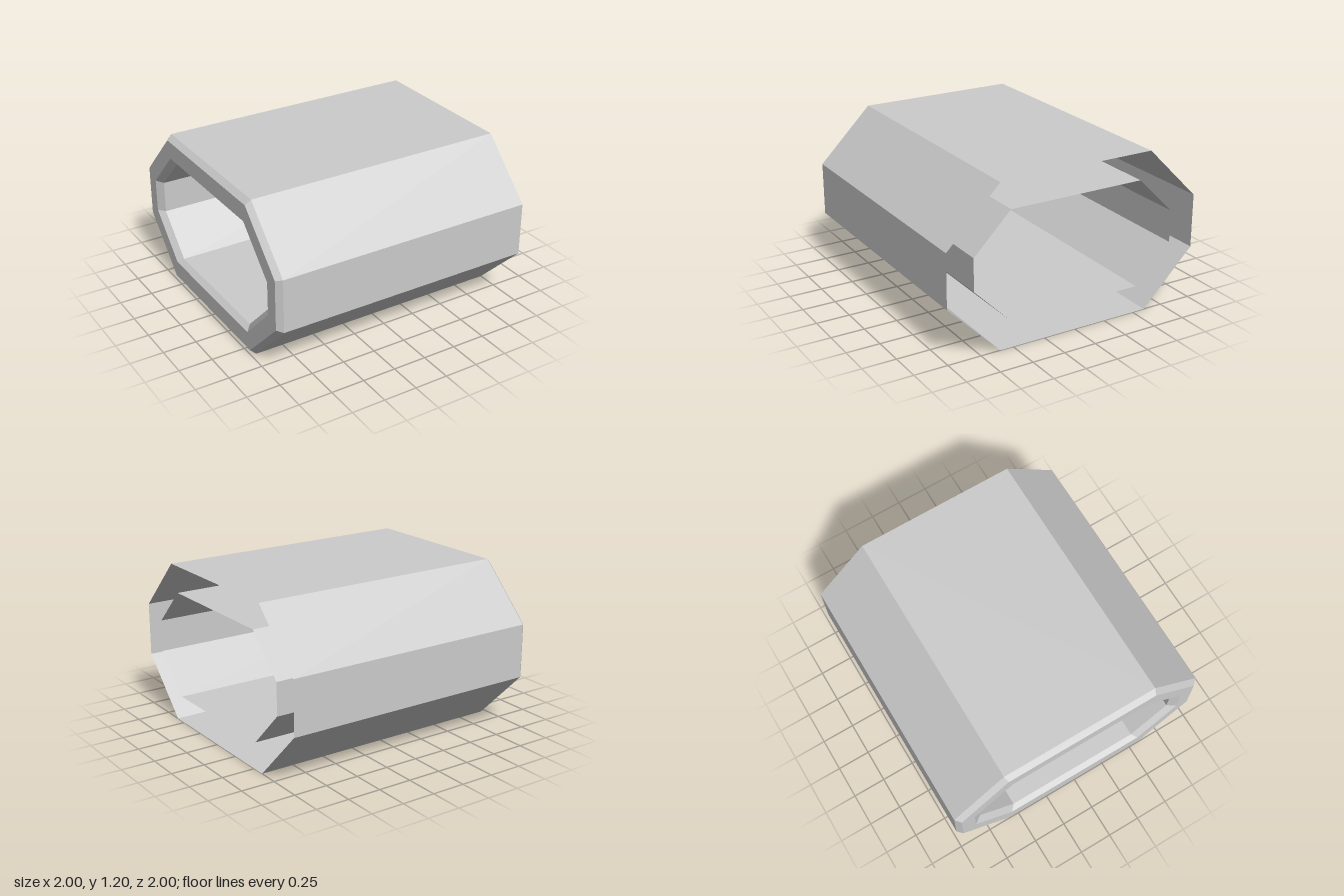
import * as THREE from 'three';

const material = new THREE.MeshStandardMaterial({
  color: 0xcccccc, flatShading: true, side: THREE.DoubleSide,
});

// Stretched octagon across the x axis: half sizes of the sides, and of the flats
function octagon(x, halfZ, halfY, flatZ, flatY) {
  return [
    [halfZ, -flatY], [halfZ, flatY], [flatZ, halfY], [-flatZ, halfY],
    [-halfZ, flatY], [-halfZ, -flatY], [-flatZ, -halfY], [flatZ, -halfY],
  ].map(([z, y]) => new THREE.Vector3(x, 0.6 + y, z));
}

// Flat-faced surface joining consecutive cross-sections
function loft(name, sections) {
  const points = [];
  for (let i = 0; i < sections.length - 1; i++) {
    const [p, q] = [sections[i], sections[i + 1]];
    for (let k = 0; k < p.length; k++) {
      const n = (k + 1) % p.length;
      points.push(p[k], p[n], q[k], p[n], q[n], q[k]);
    }
  }
  const geometry = new THREE.BufferGeometry().setFromPoints(points);
  geometry.computeVertexNormals();
  const mesh = new THREE.Mesh(geometry, material);
  mesh.name = name;
  return mesh;
}

export function createModel() {
  const group = new THREE.Group();
  group.name = 'octagonalSleeve';

  const outer = (x) => octagon(x, 1, 0.6, 0.6, 0.2);
  const inner = (x) => octagon(x, 0.8, 0.4, 0.52, 0.12);
  const rimOuter = octagon(-1, 0.963, 0.564, 0.586, 0.188);
  const rimInner = octagon(-1, 0.86, 0.433, 0.555, 0.125);

  // Two nested tubes, open at +x and joined by a bevelled rim at -x
  group.add(
    loft('outerWall', [outer(1), outer(-0.96)]),
    loft('bevelledRim', [outer(-0.96), rimOuter, rimInner, inner(-0.96)]),
    loft('innerWall', [inner(-0.96), inner(1)]),
  );
  return group;
}
